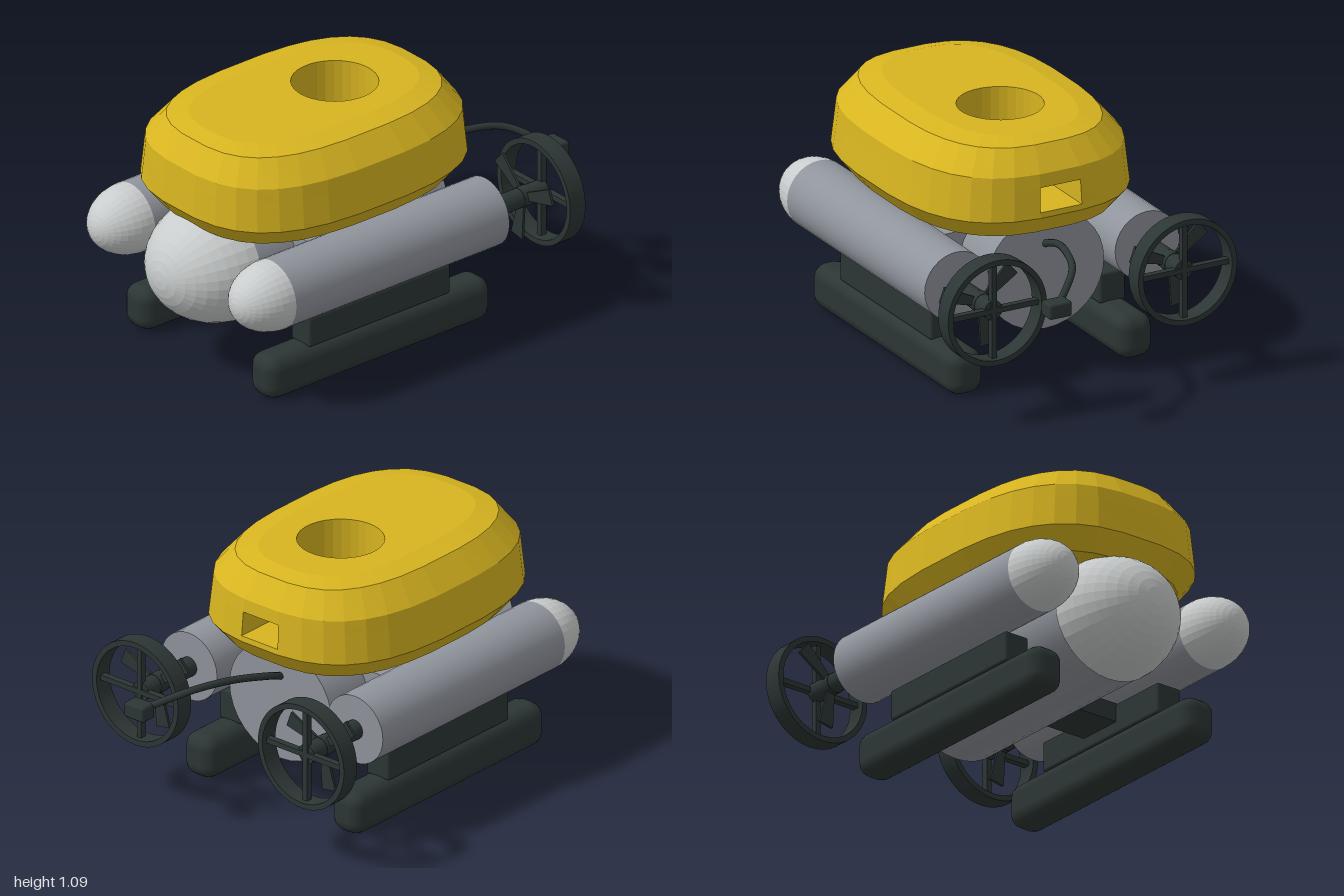
import * as THREE from 'three';
import { RoundedBoxGeometry } from 'three/addons/geometries/RoundedBoxGeometry.js';

function paint(name, color, flatShading = false) {
  const m = new THREE.MeshStandardMaterial({ color, flatShading });
  m.name = name;
  return m;
}

// Foam float: one closed loft running up the outside and down the vertical duct
function floatGeometry() {
  const N = 32;
  const outline = (y, hx, hz, zc = 0.19, n = 2.8) => Array.from({ length: N }, (_, i) => {
    const t = (i + 0.5) / N * Math.PI * 2;
    const f = (v) => Math.sign(v) * Math.abs(v) ** (2 / n);
    return [hx * f(Math.cos(t)), y, zc + hz * f(Math.sin(t))];
  });
  const duct = (y) => outline(y, 0.187, 0.187, 0.02, 2);
  const rings = [
    duct(0.685),
    outline(0.685, 0.46, 0.63),
    outline(0.775, 0.53, 0.7),
    outline(0.8, 0.527, 0.698),
    outline(0.91, 0.513, 0.69),
    outline(0.97, 0.506, 0.685),
    outline(1.075, 0.415, 0.61),
    outline(1.095, 0.315, 0.53),
    duct(1.095),
    duct(0.685),
  ];
  const pos = [];
  const quad = (a, b, c, d) => pos.push(...a, ...b, ...c, ...a, ...c, ...d);
  for (let j = 0; j < rings.length - 1; j++) {
    for (let i = 0; i < N; i++) {
      const k = (i + 1) % N;
      const face = [rings[j][i], rings[j + 1][i], rings[j + 1][k], rings[j][k]];
      if (j === 3 && i === 23) {
        // rear pocket
        const inner = face.map(([x, y]) => [x, y, -0.2]);
        face.forEach((p, e) => quad(p, face[(e + 1) % 4], inner[(e + 1) % 4], inner[e]));
        quad(...inner);
      } else quad(...face);
    }
  }
  const g = new THREE.BufferGeometry();
  g.setAttribute('position', new THREE.Float32BufferAttribute(pos, 3));
  g.computeVertexNormals();
  return g;
}

export function createModel() {
  const model = new THREE.Group();
  const yellow = paint('yellow foam', 0xd8b520, true);
  const grey = paint('grey metal', 0x90949c);
  const pale = paint('pale dome', 0xc9cccc, true);
  const dark = paint('dark plastic', 0x2c3634);

  const add = (name, geo, mat, x = 0, y = 0, z = 0, parent = model) => {
    const m = new THREE.Mesh(geo, mat);
    m.name = name;
    m.position.set(x, y, z);
    parent.add(m);
    return m;
  };
  const rod = (r, len, seg = 32) => new THREE.CylinderGeometry(r, r, len, seg).rotateX(Math.PI / 2);
  const dome = (rx, ry, rz) =>
    new THREE.SphereGeometry(1, 32, 10, 0, Math.PI * 2, 0, Math.PI / 2).rotateX(Math.PI / 2).scale(rx, ry, rz);

  // Three tapered blades and a hub, facing +z
  const propeller = (name, r, hubR) => {
    const g = new THREE.Group();
    g.name = name;
    const s = new THREE.Shape([[0, -0.014], [r, -0.037], [r, 0.037], [0, 0.014]]
      .map(([x, y]) => new THREE.Vector2(x, y)));
    const blade = new THREE.ExtrudeGeometry(s, { depth: 0.012, bevelEnabled: false }).translate(0, 0, -0.006);
    for (const a of [20, 140, 260]) add('blade', blade, dark, 0, 0, 0, g).rotation.z = a * Math.PI / 180;
    add('propeller hub', rod(hubR, 0.05, 20), dark, 0, 0, 0, g);
    return g;
  };

  // Float with its vertical thruster
  add('float', floatGeometry(), yellow);
  const lift = propeller('verticalPropeller', 0.155, 0.038);
  lift.position.set(0, 0.82, 0.02);
  lift.rotation.x = -Math.PI / 2;
  model.add(lift);
  add('verticalShaft', new THREE.CylinderGeometry(0.025, 0.025, 0.12, 16), dark, 0, 0.77, 0.02);

  // Main hull and nose dome
  add('mainHull', rod(1, 1.04).scale(0.285, 0.265, 1), grey, 0, 0.47, 0.15);
  add('noseDome', dome(0.29, 0.27, 0.33), pale, 0, 0.47, 0.665);
  add('sideWing', new THREE.BoxGeometry(0.8, 0.14, 0.6), grey, 0, 0.55, 0.17);
  add('crossBar', new THREE.BoxGeometry(0.74, 0.085, 0.22), dark, 0, 0.287, 0.17);

  // Ring guard outline for the rear thrusters
  const ringShape = new THREE.Shape().absarc(0, 0, 0.24, 0, Math.PI * 2);
  ringShape.holes.push(new THREE.Path().absarc(0, 0, 0.215, 0, Math.PI * 2, true));
  const ring = new THREE.ExtrudeGeometry(ringShape, { depth: 0.085, bevelEnabled: false, curveSegments: 36 });

  for (const side of [-1, 1]) {
    const label = side > 0 ? 'left' : 'right';
    const x = side * 0.463;

    // Side tube and its dome
    add(label + 'Tube', rod(0.156, 1.18), grey, x, 0.51, 0.165);
    add(label + 'TubeDome', dome(0.156, 0.156, 0.212), pale, x, 0.51, 0.755);

    // Rear thruster
    const thruster = new THREE.Group();
    thruster.name = label + 'Thruster';
    thruster.position.set(x, 0.51, 0);
    model.add(thruster);
    add('shaft', rod(0.044, 0.33, 20), dark, 0, 0, -0.575, thruster);
    add('guardRing', ring, dark, 0, 0, -0.775, thruster);
    add('horizontalSpoke', new THREE.BoxGeometry(0.45, 0.024, 0.03), dark, 0, 0, -0.735, thruster);
    add('verticalSpoke', new THREE.BoxGeometry(0.024, 0.45, 0.03), dark, 0, 0, -0.735, thruster);
    const prop = propeller('propeller', 0.2, 0.046);
    prop.position.z = -0.63;
    thruster.add(prop);

    // Skid and bracket
    add(label + 'Skid', new RoundedBoxGeometry(0.165, 0.198, 1.23, 2, 0.06), dark, side * 0.412, 0.1, 0.172);
    add(label + 'Bracket', new RoundedBoxGeometry(0.125, 0.14, 0.78, 2, 0.012), dark, side * 0.412, 0.26, 0.17);
  }

  // Tether and its end plug
  const path = new THREE.CatmullRomCurve3([
    [0, 0.59, -0.36], [0, 0.625, -0.46], [0.05, 0.655, -0.64], [0.12, 0.648, -0.81], [0.23, 0.59, -0.92], [0.28, 0.565, -0.96],
  ].map((p) => new THREE.Vector3(...p)));
  add('tether', new THREE.TubeGeometry(path, 30, 0.016, 10), dark);
  add('tetherPlug', new RoundedBoxGeometry(0.11, 0.07, 0.08, 2, 0.012), dark, 0.28, 0.563, -0.96);

  return model;
}
